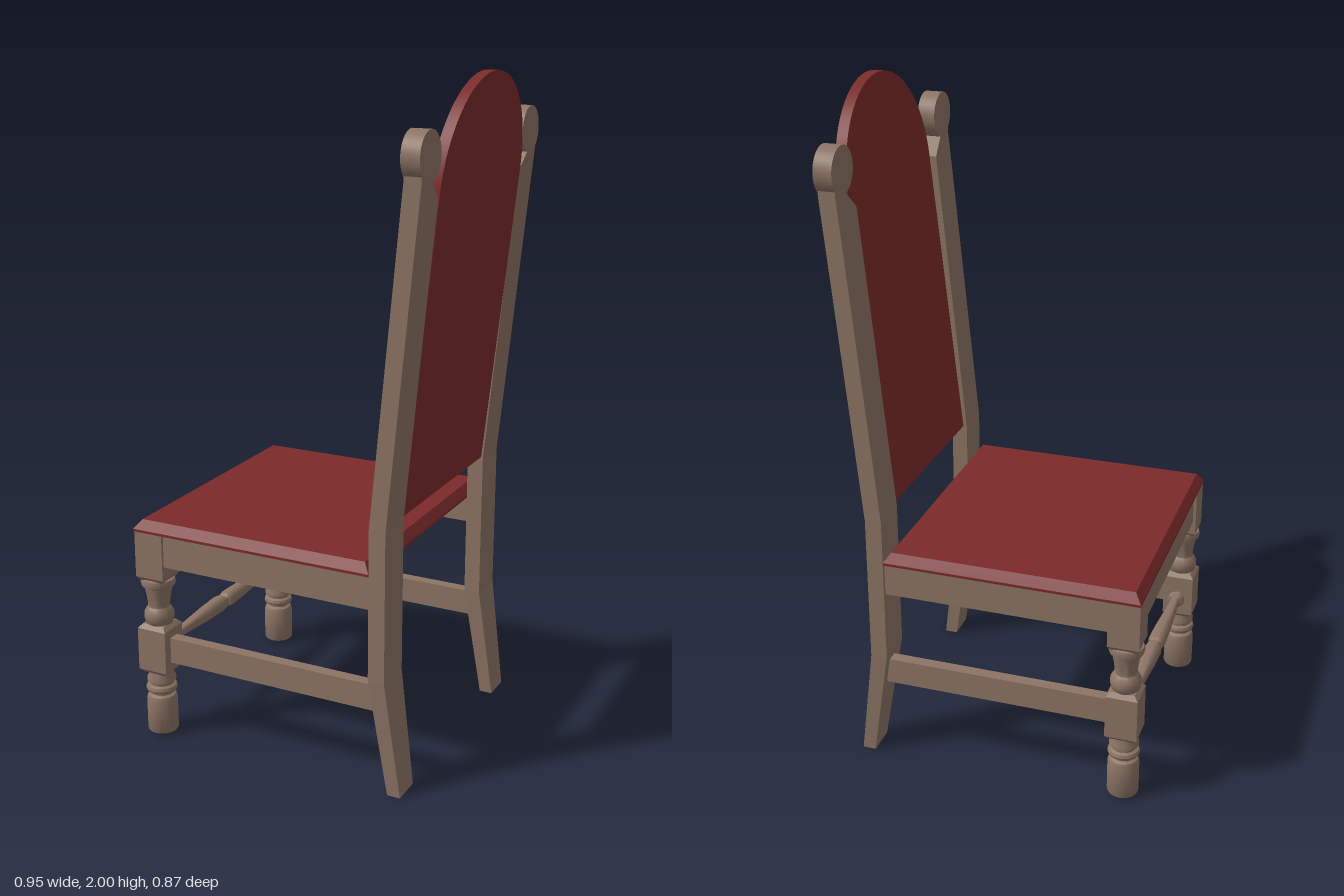
import * as THREE from 'three';
import { toCreasedNormals } from 'three/addons/utils/BufferGeometryUtils.js';

const wood = new THREE.MeshStandardMaterial({ color: 0x8c7464 });
const leather = new THREE.MeshStandardMaterial({ color: 0x7b2b2a });

function part(name, geometry, material = wood) {
  const mesh = new THREE.Mesh(geometry, material);
  mesh.name = name;
  return mesh;
}

// Stack of rectangular sections [y, x0, x1, z0, z1], closed at both ends
function loft(sections) {
  const rings = sections.map(([y, x0, x1, z0, z1]) =>
    [[x0, y, z1], [x1, y, z1], [x1, y, z0], [x0, y, z0]]);
  const pos = [];
  const quad = (a, b, c, d) => pos.push(...a, ...b, ...c, ...a, ...c, ...d);
  for (let i = 0; i < rings.length - 1; i++) {
    const lo = rings[i], hi = rings[i + 1];
    for (let j = 0; j < 4; j++) {
      const k = (j + 1) % 4;
      quad(lo[j], lo[k], hi[k], hi[j]);
    }
  }
  const [a, b, c, d] = rings[0];
  quad(d, c, b, a);
  quad(...rings[rings.length - 1]);
  const g = new THREE.BufferGeometry();
  g.setAttribute('position', new THREE.Float32BufferAttribute(pos, 3));
  g.computeVertexNormals();
  return g;
}

// Square block centred on the vertical axis, from [y, half width] pairs
const block = (pairs) => loft(pairs.map(([y, h]) => [y, -h, h, -h, h]));

// Turned piece from [radius, height] pairs
const turned = (pairs) => toCreasedNormals(
  new THREE.LatheGeometry(pairs.map(([r, y]) => new THREE.Vector2(r, y)), 24), 0.6);

function box(x0, x1, y0, y1, z0, z1) {
  return new THREE.BoxGeometry(x1 - x0, y1 - y0, z1 - z0)
    .translate((x0 + x1) / 2, (y0 + y1) / 2, (z0 + z1) / 2);
}

function frontLeg(side) {
  const leg = new THREE.Group();
  leg.name = side > 0 ? 'frontLegLeft' : 'frontLegRight';
  leg.add(
    part('upperBlock', block([[0.5, 0.034], [0.52, 0.047], [0.667, 0.047]])),
    part('middleBlock', block([[0.205, 0.036], [0.218, 0.048], [0.352, 0.048], [0.365, 0.036]])),
    part('upperTurning', turned([
      [0.03, 0.355], [0.042, 0.368], [0.046, 0.385], [0.045, 0.4], [0.038, 0.412],
      [0.033, 0.418], [0.033, 0.425], [0.036, 0.45], [0.041, 0.475], [0.042, 0.482],
      [0.05, 0.487], [0.053, 0.498], [0.05, 0.509], [0.03, 0.515]])),
    part('foot', turned([
      [0, 0.008], [0.044, 0.008], [0.047, 0.013], [0.047, 0.115], [0.043, 0.126],
      [0.034, 0.131], [0.034, 0.136], [0.045, 0.141], [0.048, 0.15], [0.045, 0.159],
      [0.037, 0.163], [0.037, 0.168], [0.044, 0.173], [0.044, 0.183], [0.036, 0.2], [0.036, 0.21]])));
  leg.position.set(-0.422, 0, side * 0.367);
  return leg;
}

function backPost(side) {
  const post = new THREE.Group();
  post.name = side > 0 ? 'backPostLeft' : 'backPostRight';
  // Splayed foot, upright middle, raked upper part with a notch under the scroll
  const sections = [
    [0, 0.357, 0.397, 0.312, 0.403],
    [0.35, 0.3, 0.35, 0.297, 0.416],
    [0.8, 0.3, 0.35, 0.297, 0.416],
    [1.695, 0.385, 0.435, 0.297, 0.416],
    [1.745, 0.39, 0.44, 0.35, 0.416],
    [1.81, 0.391, 0.441, 0.35, 0.416],
  ].map(([y, x0, x1, a, b]) => [y, x0, x1, ...(side > 0 ? [a, b] : [-b, -a])]);
  post.add(part('upright', loft(sections)));
  const scroll = part('scroll', toCreasedNormals(
    new THREE.CylinderGeometry(0.068, 0.068, 0.054, 32).rotateZ(Math.PI / 2), 0.6));
  scroll.position.set(0.416, 1.81, side * 0.367);
  post.add(scroll);
  return post;
}

// Arched panel, sheared backwards to follow the posts
function backPanel() {
  const w = 0.297, spring = 2 - w;
  const shape = new THREE.Shape();
  shape.moveTo(-w, 0.805);
  shape.lineTo(w, 0.805);
  shape.lineTo(w, spring);
  shape.absarc(0, spring, w, 0, Math.PI, false);
  shape.closePath();
  const g = new THREE.ExtrudeGeometry(shape, { depth: 0.032, bevelEnabled: false, curveSegments: 24 });
  g.rotateY(Math.PI / 2);
  const p = g.attributes.position;
  for (let i = 0; i < p.count; i++) p.setX(i, p.getX(i) + 0.312 + (p.getY(i) - 0.805) * 0.106);
  return toCreasedNormals(g, 0.6);
}

export function createModel() {
  const chair = new THREE.Group();
  chair.name = 'chair';

  // Upholstery
  chair.add(
    part('seat', loft([
      [0.664, -0.47, 0.3, -0.417, 0.417],
      [0.672, -0.47, 0.3, -0.417, 0.417],
      [0.699, -0.45, 0.28, -0.396, 0.396]]), leather),
    part('backPanel', backPanel(), leather));

  // Legs, seat rails and plain stretchers on each side
  for (const side of [1, -1]) {
    const rail = part('sideRail', box(-0.42, 0.31, 0.562, 0.666, -0.025, 0.025));
    rail.position.z = side * 0.38;
    const stretcher = part('sideStretcher', box(-0.42, 0.315, 0.245, 0.325, -0.018, 0.018));
    stretcher.position.z = side * 0.367;
    chair.add(frontLeg(side), backPost(side), rail, stretcher);
  }
  chair.add(part('frontRail', box(-0.46, -0.41, 0.562, 0.666, -0.36, 0.36)));

  // Turned front stretcher, symmetric about its middle groove
  const half = [
    [0.017, 0], [0.017, 0.006], [0.024, 0.011], [0.027, 0.03], [0.025, 0.1], [0.019, 0.2],
    [0.014, 0.275], [0.014, 0.283], [0.024, 0.288], [0.027, 0.297], [0.024, 0.306],
    [0.017, 0.311], [0.017, 0.335]];
  const mirrored = half.slice(1).reverse().map(([r, y]) => [r, -y]);
  const front = part('frontStretcher', turned([...mirrored, ...half]).rotateX(Math.PI / 2));
  front.position.set(-0.422, 0.285, 0);
  chair.add(front);

  return chair;
}
